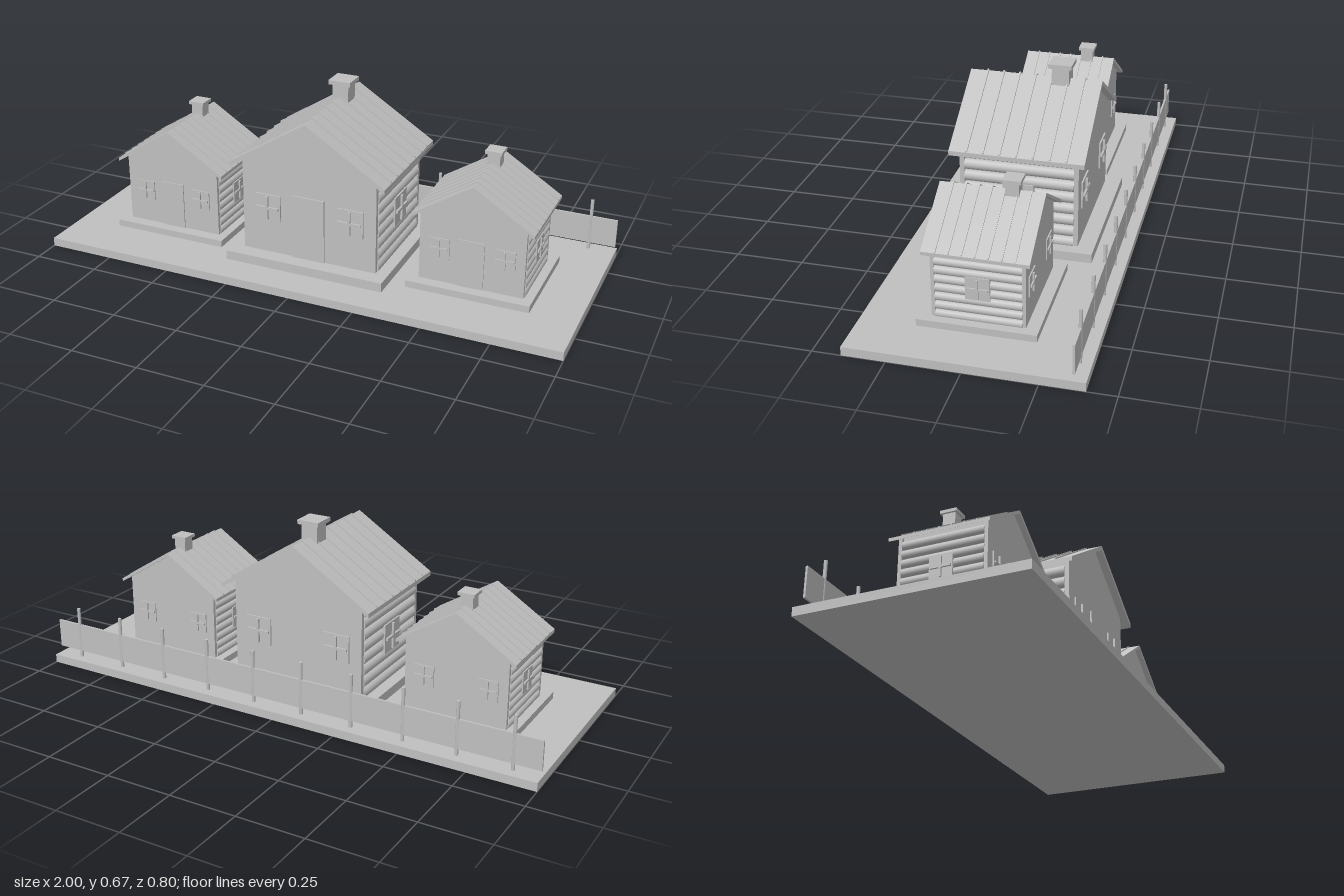
import * as THREE from 'three';

const grey = new THREE.MeshStandardMaterial({ color: 0xbfbfbf });
grey.name = 'plain grey';

function add(parent, name, geometry, x = 0, y = 0, z = 0) {
  const mesh = new THREE.Mesh(geometry, grey);
  mesh.name = name;
  mesh.position.set(x, y, z);
  parent.add(mesh);
  return mesh;
}

// Box given by its centre in x and z and its bottom in y
function box(parent, name, w, h, d, x, y, z) {
  return add(parent, name, new THREE.BoxGeometry(w, h, d), x, y + h / 2, z);
}

// Outline in x and y, extruded along z and centred on z
function prism(parent, name, points, depth, z = 0) {
  const shape = new THREE.Shape(points.map(([x, y]) => new THREE.Vector2(x, y)));
  const geometry = new THREE.ExtrudeGeometry(shape, { depth, bevelEnabled: false });
  geometry.translate(0, 0, -depth / 2);
  return add(parent, name, geometry, 0, 0, z);
}

const RIDGE = 0.574, SLOPE = 0.63;
const roofY = (x, offset) => RIDGE - SLOPE * Math.abs(x) + offset;

// Gable-shaped outline below the roof
function gable(halfWidth) {
  const eave = roofY(halfWidth, -0.014);
  return [[-halfWidth, 0.03], [halfWidth, 0.03], [halfWidth, eave],
    [0, roofY(0, -0.014)], [-halfWidth, eave]];
}

// Bent band that follows both roof slopes
function chevron(halfWidth, bottom, top) {
  return [[-halfWidth, roofY(halfWidth, bottom)], [0, roofY(0, bottom)],
    [halfWidth, roofY(halfWidth, bottom)], [halfWidth, roofY(halfWidth, top)],
    [0, roofY(0, top)], [-halfWidth, roofY(halfWidth, top)]];
}

// Window facing +z before it is turned; its wall is at z = 0
function makeWindow(size, depth) {
  const g = new THREE.Group();
  g.name = 'window';
  add(g, 'windowFrame', new THREE.BoxGeometry(size, size, depth), 0, 0, depth / 2);
  const length = size * 0.88;
  add(g, 'windowBarUpright', new THREE.BoxGeometry(0.01, length, 0.012), 0, 0, depth + 0.002);
  add(g, 'windowBarAcross', new THREE.BoxGeometry(length, 0.01, 0.012), 0, 0, depth + 0.002);
  return g;
}

function makeCabin() {
  const g = new THREE.Group();
  g.name = 'cabin';
  box(g, 'plinth', 0.62, 0.035, 0.555, 0, 0, 0);
  prism(g, 'core', gable(0.25), 0.4);

  for (const s of [-1, 1]) {
    prism(g, s > 0 ? 'frontWall' : 'backWall', gable(0.263), 0.017, s * 0.2085);

    // Log side walls
    for (let i = 0; i < 8; i++) {
      const log = new THREE.CylinderGeometry(0.0215, 0.0215, 0.4, 16);
      log.rotateX(Math.PI / 2);
      add(g, 'wallLog', log, s * 0.2465, 0.044 + i * 0.045, 0);
    }

    // Two windows in each gable wall, one in each log wall
    for (const side of [-1, 1]) {
      const win = makeWindow(0.104, 0.006);
      win.position.set(side * 0.163, 0.216, s * 0.217);
      if (s < 0) win.rotation.y = Math.PI;
      g.add(win);
    }
    const sideWindow = makeWindow(0.113, 0.013);
    sideWindow.position.set(s * 0.26, 0.207, 0);
    sideWindow.rotation.y = s * Math.PI / 2;
    g.add(sideWindow);
  }

  box(g, 'door', 0.126, 0.247, 0.006, 0, 0.035, 0.22);

  // Roof with raised battens
  prism(g, 'roof', chevron(0.304, -0.017, 0), 0.49);
  for (let i = -3; i <= 3; i++) prism(g, 'roofBatten', chevron(0.303, -0.004, 0.006), 0.006, i * 0.06);

  // Chimney
  box(g, 'chimney', 0.064, 0.13, 0.064, 0, 0.49, -0.097);
  box(g, 'chimneyCap', 0.086, 0.016, 0.086, 0, 0.62, -0.097);
  return g;
}

export function createModel() {
  const model = new THREE.Group();
  model.name = 'cabinVillage';
  box(model, 'groundSlab', 2, 0.032, 0.8, 0, 0, 0);

  // One large cabin between two small ones
  for (const [x, scale] of [[-0.6, 0.735], [0, 1], [0.6, 0.735]]) {
    const cabin = makeCabin();
    cabin.position.set(x, 0.032, 0);
    cabin.scale.setScalar(scale);
    model.add(cabin);
  }

  // Fence along the back
  box(model, 'fenceBoard', 2, 0.109, 0.008, 0, 0.057, -0.36);
  for (let i = 0; i < 10; i++) {
    add(model, 'fencePost', new THREE.CylinderGeometry(0.0065, 0.0065, 0.2, 12), -0.9 + i * 0.2, 0.132, -0.36);
  }
  return model;
}
